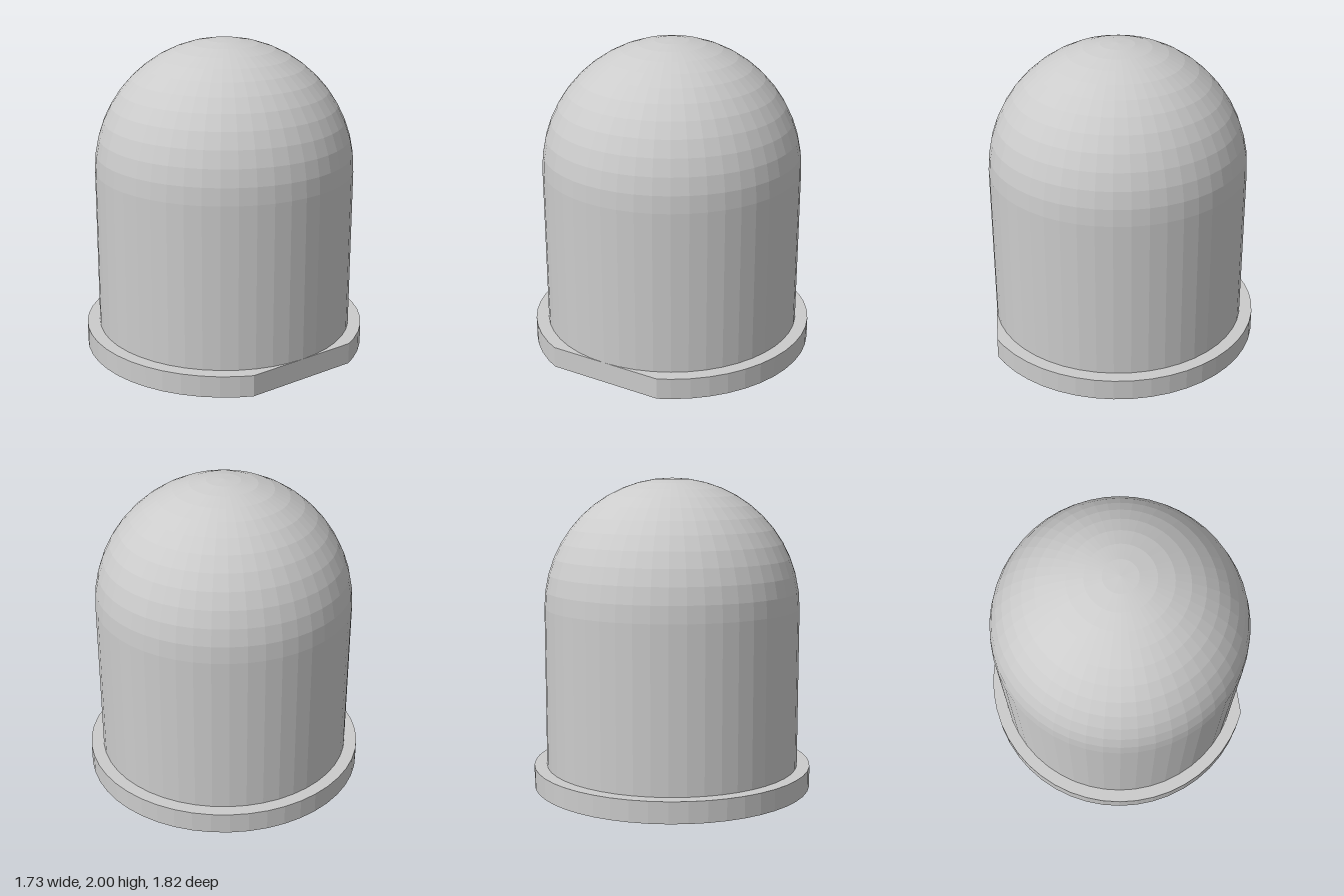
import * as THREE from 'three';

const SIDES = 48;
const CENTRE_X = 0.041;
const BODY_R = 0.825;
const RIM_R = 0.9075;
const RIM_H = 0.137;
const DOME_Y = 2 - BODY_R;

export function createModel() {
  const group = new THREE.Group();
  group.name = 'domedLamp';
  const material = new THREE.MeshStandardMaterial({ color: 0xcccccc, flatShading: true });

  // Cylindrical body running into a hemispherical dome
  const profile = [new THREE.Vector2(BODY_R, RIM_H)];
  const rings = SIDES / 4;
  for (let i = 0; i <= rings; i++) {
    const a = (i / rings) * Math.PI / 2;
    profile.push(new THREE.Vector2(i === rings ? 0 : BODY_R * Math.cos(a), DOME_Y + BODY_R * Math.sin(a)));
  }
  const body = new THREE.Mesh(new THREE.LatheGeometry(profile, SIDES), material);
  body.name = 'domedBody';
  body.position.x = CENTRE_X;
  group.add(body);

  // Base rim: a disc cut by a flat on the +x side, tangent to the body
  const cut = Math.acos(BODY_R / RIM_R);
  const step = (2 * Math.PI) / SIDES;
  const cutZ = RIM_R * Math.sin(cut);
  const outline = [new THREE.Vector2(BODY_R, cutZ)];
  for (let i = 0; i < SIDES; i++) {
    const a = i * step;
    if (a > cut && a < 2 * Math.PI - cut) {
      outline.push(new THREE.Vector2(RIM_R * Math.cos(a), RIM_R * Math.sin(a)));
    }
  }
  outline.push(new THREE.Vector2(BODY_R, -cutZ));
  const rimGeometry = new THREE.ExtrudeGeometry(new THREE.Shape(outline), { depth: RIM_H, bevelEnabled: false });
  rimGeometry.rotateX(-Math.PI / 2);
  const rim = new THREE.Mesh(rimGeometry, material);
  rim.name = 'baseRim';
  rim.position.x = CENTRE_X;
  group.add(rim);

  return group;
}
